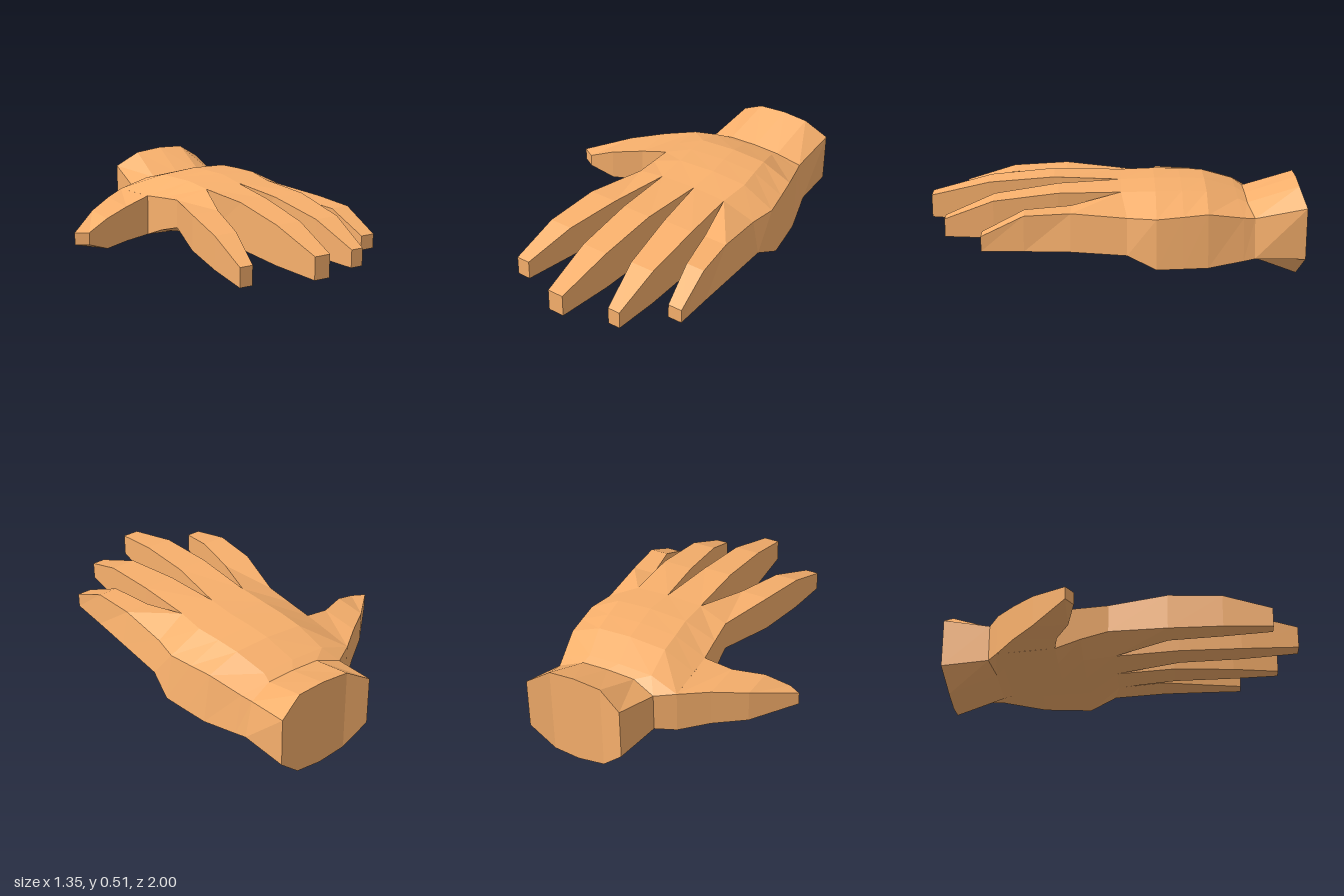
import * as THREE from 'three';

const skin = new THREE.MeshStandardMaterial({ color: 0xf8b06c, flatShading: true });
const { lerp } = THREE.MathUtils;

// Skin a row of equal-length rings; caps are strips joining the upper and lower half of a ring
function loft(name, rings, capStart, capEnd) {
  const pos = [];
  const quad = (a, b, c, d) => [a, b, c, a, c, d].forEach(p => pos.push(...p));
  const n = rings[0].length;
  for (let i = 0; i < rings.length - 1; i++) {
    for (let j = 0; j < n; j++) {
      const k = (j + 1) % n;
      quad(rings[i][j], rings[i + 1][j], rings[i + 1][k], rings[i][k]);
    }
  }
  const first = rings[0], last = rings[rings.length - 1];
  for (let j = 0; j < n / 2 - 1; j++) {
    if (capStart) quad(first[j], first[j + 1], first[n - 2 - j], first[n - 1 - j]);
    if (capEnd) quad(last[j], last[n - 1 - j], last[n - 2 - j], last[j + 1]);
  }
  const geo = new THREE.BufferGeometry();
  geo.setAttribute('position', new THREE.Float32BufferAttribute(pos, 3));
  geo.computeVertexNormals();
  const mesh = new THREE.Mesh(geo, skin);
  mesh.name = name;
  return mesh;
}

// Five points across one side of the palm, bulging from the edges to the middle
function arc(z, left, right, edgeL, edgeR, middle, edgeShift) {
  return [0, 0.23, 0.51, 0.77, 1].map((t, i) => {
    const bulge = [0, 0.85, 1, 0.9, 0][i];
    const y = lerp(i < 2 ? edgeL : edgeR, middle, bulge);
    return [lerp(left, right, t), y, z + (bulge ? 0 : edgeShift)];
  });
}

export function createModel() {
  const hand = new THREE.Group();
  hand.name = 'hand';

  // Wrist and palm: z, left x, right x, lower right flare, back of hand (left, right, middle y),
  // palm side (left, right, middle y), z shift of the edges
  const palm = [
    [-0.97, -0.04, 0.52, 0, 0.42, 0.42, 0.51, 0.14, 0.14, 0, -0.03],
    [-0.7, -0.075, 0.5, 0.04, 0.36, 0.36, 0.41, 0.15, 0.15, 0.115, -0.03],
    [-0.65, -0.18, 0.52, 0.04, 0.37, 0.37, 0.43, 0.14, 0.145, 0.128, -0.02],
    [-0.48, -0.175, 0.58, 0.04, 0.388, 0.41, 0.49, 0.157, 0.13, 0.15, 0],
    [-0.35, -0.17, 0.605, 0.04, 0.4, 0.405, 0.5, 0.17, 0.135, 0.163, 0],
    [-0.21, -0.155, 0.63, 0.04, 0.42, 0.4, 0.505, 0.23, 0.14, 0.178, 0],
    [-0.03, -0.14, 0.605, 0.04, 0.44, 0.4, 0.495, 0.28, 0.21, 0.2, -0.03],
  ].map(([z, l, r, flare, topL, topR, top, lowL, lowR, low, shift]) => [
    ...arc(z, l, r, topL, topR, top, shift),
    ...arc(z, l, r + flare, lowL, lowR, low, shift).reverse(),
  ]);
  hand.add(loft('palm', palm, true, false));

  // Fingers grow from the knuckle line: z, left x, right x, top y, bottom y per joint,
  // and how far the lower outer edge leans out
  const fingers = {
    indexFinger: [[0.27, -0.23, -0.07, 0.45, 0.25], [0.57, -0.27, -0.14, 0.42, 0.235],
      [0.84, -0.285, -0.21, 0.33, 0.222]],
    middleFinger: [[0.33, 0.035, 0.2, 0.495, 0.235], [0.68, 0.035, 0.18, 0.46, 0.24],
      [1, 0.055, 0.145, 0.375, 0.25]],
    ringFinger: [[0.3, 0.275, 0.45, 0.485, 0.23], [0.64, 0.31, 0.445, 0.44, 0.235],
      [0.9, 0.355, 0.425, 0.335, 0.237]],
    littleFinger: [[0.23, 0.485, 0.617, 0.43, 0.235, 0.04], [0.47, 0.535, 0.64, 0.425, 0.238, 0.015],
      [0.69, 0.575, 0.655, 0.32, 0.24]],
  };
  const knuckles = palm[palm.length - 1];
  Object.entries(fingers).forEach(([name, joints], i) => {
    const root = [knuckles[i], knuckles[i + 1], knuckles[8 - i], knuckles[9 - i]];
    const rings = joints.map(([z, l, r, top, low, lean = 0]) =>
      [[l, top, z], [r, top, z], [r + lean, low, z], [l, low, z]]);
    hand.add(loft(name, [root, ...rings], false, true));
  });

  // Thumb grows from the palm's edge: back x and z, front x and z, top y, bottom y
  const thumbRoot = [palm[2][0], palm[4][0], palm[4][9], palm[2][9]];
  const thumb = [
    [-0.32, -0.56, -0.32, -0.325, 0.362, 0.16],
    [-0.48, -0.44, -0.48, -0.25, 0.335, 0.16],
    [-0.68, -0.25, -0.61, -0.21, 0.283, 0.213],
  ].map(([bx, bz, fx, fz, top, low]) =>
    [[bx, top, bz], [fx, top, fz], [fx, low, fz], [bx, low, bz]]);
  hand.add(loft('thumb', [thumbRoot, ...thumb], false, true));

  return hand;
}
